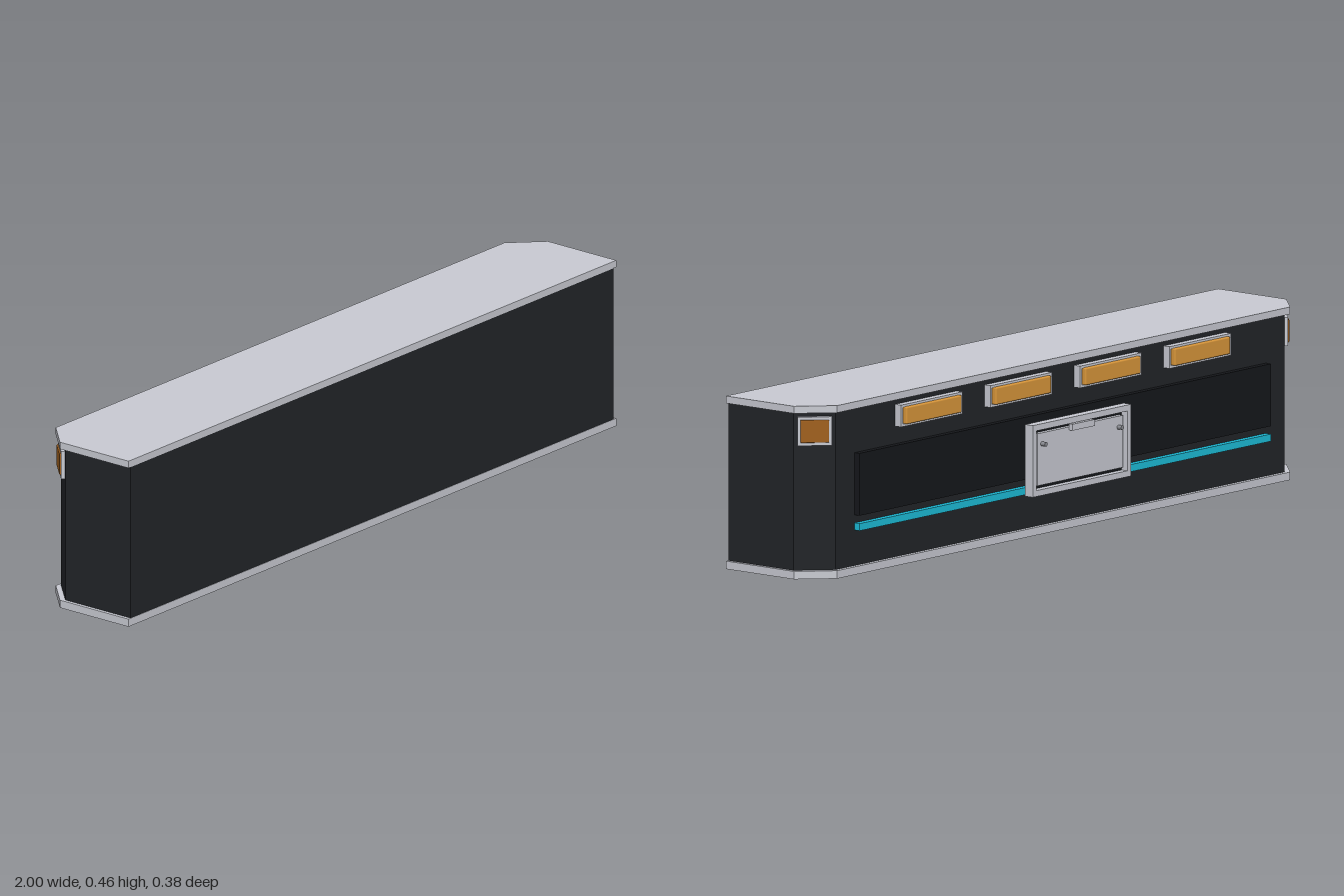
import * as THREE from 'three';
import { RoundedBoxGeometry } from 'three/addons/geometries/RoundedBoxGeometry.js';

const mat = (color) => new THREE.MeshStandardMaterial({ color });

export function createModel() {
  const model = new THREE.Group();
  const metal = mat(0xc8cad2), body = mat(0x222428), panel = mat(0x15171b);
  const amber = mat(0xd8963a), darkAmber = mat(0xa0601e), cyan = mat(0x1cbcd8);

  const add = (parent, name, geometry, material, x = 0, y = 0, z = 0) => {
    const mesh = new THREE.Mesh(geometry, material);
    mesh.name = name;
    mesh.position.set(x, y, z);
    parent.add(mesh);
    return mesh;
  };
  const box = (w, h, d) => new THREE.BoxGeometry(w, h, d);

  // horizontal slab with its two rear corners cut off, from y0 to y1
  const slab = (halfW, cutX, front, cutZ, back, y0, y1) => {
    const shape = new THREE.Shape([
      [-halfW, front], [-halfW, cutZ], [-cutX, back],
      [cutX, back], [halfW, cutZ], [halfW, front],
    ].map(([x, z]) => new THREE.Vector2(x, z)));
    return new THREE.ExtrudeGeometry(shape, { depth: y1 - y0, bevelEnabled: false })
      .rotateX(Math.PI / 2).translate(0, y1, 0);
  };

  // rectangular frame with an open middle, centred on its depth
  const frame = (w, h, border, depth) => {
    const rect = (T, a, b) => new T([[-a, -b], [a, -b], [a, b], [-a, b]]
      .map(([x, y]) => new THREE.Vector2(x, y)));
    const shape = rect(THREE.Shape, w / 2, h / 2);
    shape.holes.push(rect(THREE.Path, w / 2 - border, h / 2 - border));
    return new THREE.ExtrudeGeometry(shape, { depth, bevelEnabled: false })
      .translate(0, 0, -depth / 2);
  };

  // main body between two trim plates
  add(model, 'body', slab(0.99, 0.912, 0.19, -0.03, -0.108, 0.02, 0.44), body);
  add(model, 'bottomTrim', slab(1, 0.92, 0.191, -0.04, -0.12, 0, 0.021), metal);
  add(model, 'topTrim', slab(1, 0.92, 0.191, -0.04, -0.12, 0.439, 0.458), metal);

  // raised rear panel and light strip below it
  add(model, 'rearPanel', box(1.67, 0.165, 0.017), panel, 0, 0.2375, -0.1165);
  add(model, 'lightStrip', box(1.67, 0.019, 0.017), cyan, 0, 0.1245, -0.1165);

  // row of marker lamps
  for (const x of [-0.545, -0.182, 0.182, 0.545]) {
    const lamp = new THREE.Group();
    lamp.name = 'markerLamp';
    lamp.position.set(x, 0.3955, 0);
    add(lamp, 'lampFrame', frame(0.25, 0.058, 0.007, 0.02), metal, 0, 0, -0.118);
    add(lamp, 'lampLens', new RoundedBoxGeometry(0.226, 0.046, 0.029, 2, 0.004), amber, 0, 0, -0.1225);
    model.add(lamp);
  }

  // corner lamps on the cut corners
  for (const side of [-1, 1]) {
    const lamp = new THREE.Group();
    lamp.name = side > 0 ? 'leftCornerLamp' : 'rightCornerLamp';
    lamp.position.set(side * 0.951, 0.39, -0.069);
    lamp.rotation.y = -side * Math.PI / 4;
    add(lamp, 'cornerFrame', frame(0.09, 0.076, 0.008, 0.01), metal, 0, 0, -0.005);
    add(lamp, 'cornerLens', new RoundedBoxGeometry(0.075, 0.06, 0.016, 2, 0.003), darkAmber, 0, 0, -0.006);
    model.add(lamp);
  }

  // framed plate standing off the rear panel
  const plate = new THREE.Group();
  plate.name = 'rearPlate';
  plate.position.set(0, 0.215, 0);
  add(plate, 'plateFrame', frame(0.4, 0.19, 0.016, 0.026), metal, 0, 0, -0.169);
  add(plate, 'plateBacking', box(0.398, 0.188, 0.008), panel, 0, 0, -0.159);
  add(plate, 'plateFace', box(0.346, 0.138, 0.014), metal, 0, 0, -0.169);
  add(plate, 'plateLatch', box(0.09, 0.017, 0.013), metal, 0, 0.069, -0.1815);
  for (const x of [-0.155, 0.155]) {
    const bolt = new THREE.CylinderGeometry(0.006, 0.006, 0.015, 12).rotateX(Math.PI / 2);
    add(plate, 'plateBolt', bolt, mat(0x8c8e94), x, 0.04, -0.1825);
  }
  model.add(plate);
  return model;
}
